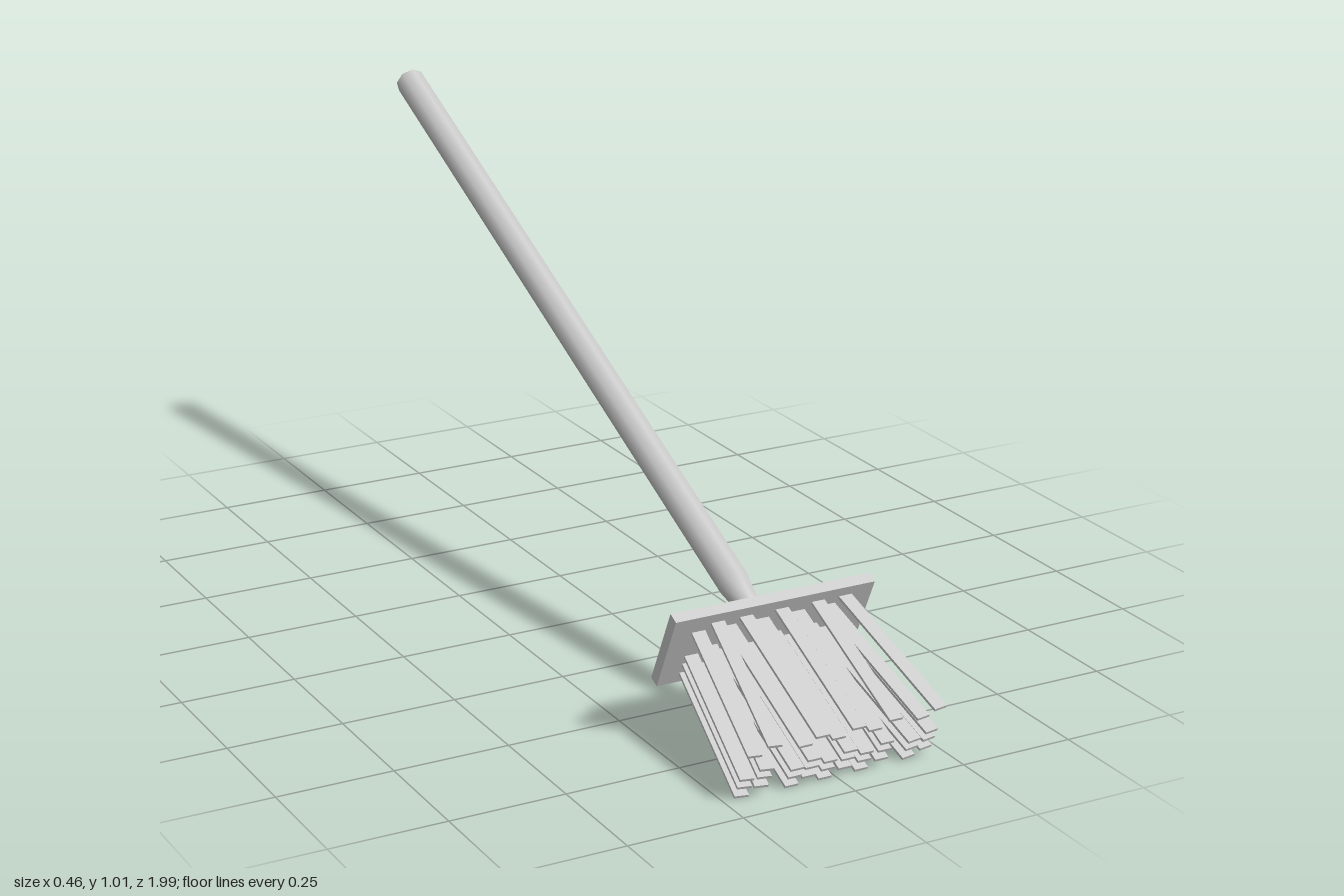
import * as THREE from 'three';

export function createModel() {
  const broom = new THREE.Group();
  broom.name = 'broom';
  const material = new THREE.MeshStandardMaterial({ color: 0xcccccc });

  function add(name, geometry, x, y, z, parent = broom) {
    const mesh = new THREE.Mesh(geometry, material);
    mesh.name = name;
    mesh.position.set(x, y, z);
    parent.add(mesh);
    return mesh;
  }

  // Handle: eight-sided pole, tapered where it meets the head
  const profile = [[0, 0.042], [0.021, 0.042], [0.025, 0.06], [0.034, 0.125],
    [0.034, 1.803], [0.034, 1.809], [0.033, 1.809], [0, 1.809]];
  const pole = new THREE.LatheGeometry(profile.map(([r, y]) => new THREE.Vector2(r, y)), 8);
  add('handle', pole, -0.009, 0, 0.01);

  // Head: wide plate with a narrower block behind it
  add('bristlePlate', new THREE.BoxGeometry(0.457, 0.025, 0.182), -0.002, 0, 0);
  add('headBlock', new THREE.BoxGeometry(0.387, 0.034, 0.093), -0.003, 0.0295, 0);

  // Bristles: flat strips in staggered columns, the outer two on each side splayed
  const bristles = new THREE.Group();
  bristles.name = 'bristles';
  broom.add(bristles);
  const length = 0.33;
  const strip = new THREE.BoxGeometry(0.03, length, 0.006);
  strip.translate(0, -length / 2, 0);
  const rootX = [-0.17, -0.13, -0.1, -0.066, -0.025, 0.016, 0.058, 0.1, 0.128, 0.163];
  const rows = [-0.067, -0.041, -0.019, 0.048];
  rootX.forEach((x, column) => {
    const splay = column < 2 ? -0.125 : column > 7 ? 0.125 : 0;
    for (const z of rows) {
      const mesh = add('bristle', strip, x, -0.01, z + (column % 2) * 0.017, bristles);
      mesh.rotation.z = splay;
    }
  });

  // Lean the whole broom back, head forward and down
  broom.rotation.x = THREE.MathUtils.degToRad(-65);
  broom.position.set(0, 0.205, 0.648);

  const model = new THREE.Group();
  model.name = 'leaningBroom';
  model.add(broom);
  return model;
}
